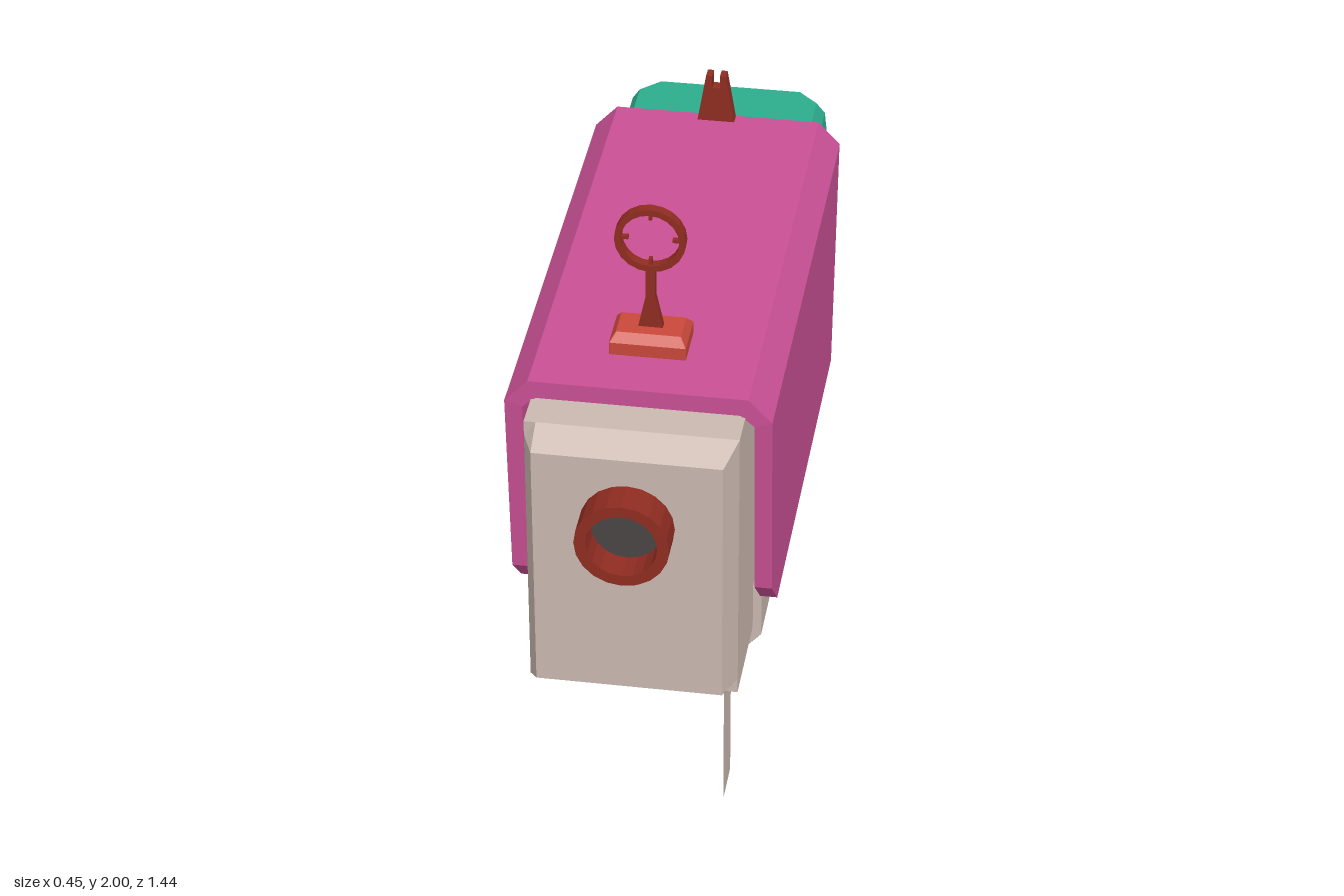
import * as THREE from 'three';

const mat = (name, color, side = THREE.FrontSide) => {
  const m = new THREE.MeshStandardMaterial({ color, flatShading: true, side });
  m.name = name;
  return m;
};

// Skin of equal-length rings (counter-clockwise from above, rising in y), capped at both ends
function loft(rings) {
  const pos = [];
  const tri = (...pts) => pts.forEach((p) => pos.push(...p));
  const n = rings[0].length;
  for (let r = 0; r < rings.length - 1; r++) {
    const a = rings[r], b = rings[r + 1];
    for (let i = 0; i < n; i++) {
      const j = (i + 1) % n;
      tri(a[i], a[j], b[j]);
      tri(a[i], b[j], b[i]);
    }
  }
  const low = rings[0], high = rings[rings.length - 1];
  for (let i = 1; i < n - 1; i++) {
    tri(low[0], low[i + 1], low[i]);
    tri(high[0], high[i], high[i + 1]);
  }
  const g = new THREE.BufferGeometry();
  g.setAttribute('position', new THREE.Float32BufferAttribute(pos, 3));
  g.computeVertexNormals();
  return g;
}

// Rectangular ring with cut corners: half width, front z, back z, corner cut
const rect = (y, hx, zf, zb, c = 0.001) => [
  [hx, y, zf - c], [hx, y, zb + c], [hx - c, y, zb], [c - hx, y, zb],
  [-hx, y, zb + c], [-hx, y, zf - c], [c - hx, y, zf], [hx - c, y, zf],
];
// Ring of the rear housing, narrowing from the shoulder zs to the back zb
const housingRing = (y, hx, hb, zs, zb) => [
  [hx, y, -0.25], [hx, y, zs], [hb, y, zb], [-hb, y, zb], [-hx, y, zs], [-hx, y, -0.25],
];
// Ring of the main body with its bevelled nose at zf
const bodyRing = (y, zf) => [
  [0.18, y, 0.61], [0.18, y, -0.27], [-0.18, y, -0.27], [-0.18, y, 0.61], [-0.16, y, zf], [0.16, y, zf],
];

const shapeOf = (pts) => new THREE.Shape(pts.map(([x, y]) => new THREE.Vector2(x, y)));
const extrude = (pts, depth) =>
  new THREE.ExtrudeGeometry(shapeOf(pts), { depth, bevelEnabled: false });
// Outline in (z, y), given thickness along x and centred on x
const sidePlate = (pts, width) =>
  extrude(pts.map(([z, y]) => [-z, y]), width).translate(0, 0, -width / 2).rotateY(Math.PI / 2);

export function createModel() {
  const beige = mat('beige', 0xcab9b0);
  const beigeSheet = mat('beige sheet', 0xcab9b0, THREE.DoubleSide);
  const pink = mat('pink', 0xca5095, THREE.DoubleSide);
  const green = mat('green', 0x2cad8c);
  const red = mat('red', 0xc9483a);
  const darkRed = mat('dark red', 0x8f2c21, THREE.DoubleSide);
  const dark = mat('dark grey', 0x4a4645);

  const model = new THREE.Group();
  const add = (name, geometry, material, x = 0, y = 0, z = 0, parent = model) => {
    const mesh = new THREE.Mesh(geometry, material);
    mesh.name = name;
    mesh.position.set(x, y, z);
    parent.add(mesh);
    return mesh;
  };

  // Main body and the stepped block under it
  add('body', loft([bodyRing(1.17, 0.61), bodyRing(1.2, 0.66), bodyRing(1.67, 0.66), bodyRing(1.697, 0.61)]), beige);
  add('underBlock', loft([
    rect(1.115, 0.16, 0.425, 0.035), rect(1.155, 0.195, 0.425, 0.035),
    rect(1.24, 0.195, 0.425, 0.035), rect(1.26, 0.18, 0.425, 0.035),
  ]), beige);
  add('underPlate', loft([
    rect(1.065, 0.08, 0.355, 0.12), rect(1.078, 0.092, 0.367, 0.11), rect(1.12, 0.092, 0.367, 0.11),
  ]), beige);

  // Cover: bevelled roof with a hanging plate on each side
  const cover = new THREE.Group();
  cover.name = 'cover';
  model.add(cover);
  add('coverRoof', extrude([
    [0.225, 1.69], [0.185, 1.732], [-0.185, 1.732], [-0.225, 1.69],
    [-0.195, 1.68], [-0.172, 1.7], [0.172, 1.7], [0.195, 1.68],
  ], 0.9), pink, 0, 0, -0.355, cover);
  for (const s of [1, -1]) {
    add(s > 0 ? 'coverLeft' : 'coverRight', sidePlate([
      [0.545, 1.69], [0.52, 1.33], [0.445, 1.255], [-0.297, 1.255], [-0.35, 1.69],
    ], 0.03), pink, s * 0.21, 0, 0, cover);
  }

  // Muzzle: hollow ring with a dark disc inside
  const muzzle = new THREE.LatheGeometry(
    [[0.08, 0], [0.08, 0.065], [0.06, 0.065], [0.06, 0.008]].map(([r, h]) => new THREE.Vector2(r, h)), 20);
  add('muzzle', muzzle.rotateX(Math.PI / 2), darkRed, 0, 1.54, 0.655);
  add('muzzleBore', new THREE.CircleGeometry(0.062, 20), dark, 0, 1.54, 0.668);

  // Rear housing in three steps
  add('rearHousing', loft([
    housingRing(1.19, 0.18, 0.1, -0.5, -0.6), housingRing(1.205, 0.19, 0.11, -0.51, -0.61),
    housingRing(1.6, 0.19, 0.11, -0.51, -0.61),
  ]), green);
  add('rearStep', loft([
    rect(1.59, 0.115, -0.4, -0.588, 0.01), rect(1.635, 0.115, -0.4, -0.588, 0.01), rect(1.652, 0.105, -0.4, -0.575, 0.01),
  ]), green);
  add('rearTop', loft([
    housingRing(1.59, 0.188, 0.145, -0.5, -0.54), housingRing(1.67, 0.18, 0.14, -0.495, -0.537),
    housingRing(1.695, 0.165, 0.13, -0.485, -0.52),
  ]), green);

  // Slanted grip
  add('grip', loft([
    rect(0.685, 0.07, -0.395, -0.7, 0.015), rect(0.705, 0.09, -0.38, -0.718, 0.018),
    rect(1.2, 0.09, -0.255, -0.605, 0.018),
  ]), green);

  // Trigger and the dark strip behind it
  add('triggerMount', sidePlate([[-0.235, 1.2], [-0.27, 1.01], [-0.31, 1.005], [-0.27, 1.2]], 0.08), dark);
  add('trigger', sidePlate([[-0.2, 1.18], [-0.222, 1.105], [-0.28, 1.105], [-0.28, 1.18]], 0.045), darkRed);

  // Front sight: base, stem, ring and four inner ticks
  add('frontSightBase', loft([
    rect(1.73, 0.065, 0.445, 0.36), rect(1.755, 0.065, 0.445, 0.36), rect(1.77, 0.055, 0.432, 0.373),
  ]), red);
  add('frontSightStem', extrude([
    [-0.022, 1.765], [0.022, 1.765], [0.008, 1.83], [0.008, 1.89], [-0.008, 1.89], [-0.008, 1.83],
  ], 0.014), darkRed, 0, 0, 0.396);
  const hoop = new THREE.Shape().absarc(0, 0, 0.06, 0, Math.PI * 2);
  hoop.holes.push(new THREE.Path().absarc(0, 0, 0.049, 0, Math.PI * 2, true));
  add('frontSightRing', new THREE.ExtrudeGeometry(hoop, { depth: 0.018, bevelEnabled: false, curveSegments: 10 }),
    darkRed, 0, 1.94, 0.394);
  for (let i = 0; i < 4; i++) {
    const a = (i * Math.PI) / 2;
    add('sightTick', new THREE.BoxGeometry(0.014, 0.006, 0.008), darkRed,
      0.044 * Math.cos(a), 1.94 + 0.044 * Math.sin(a), 0.403).rotation.z = a;
  }

  // Notched rear sight
  add('rearSight', extrude([
    [-0.034, 1.73], [0.034, 1.73], [0.018, 1.825], [0.007, 1.825], [0.007, 1.8],
    [-0.007, 1.8], [-0.007, 1.825], [-0.018, 1.825],
  ], 0.022), darkRed, 0, 0, -0.354);

  // Strap loop under the grip, link and flat strap
  for (const z of [-0.47, -0.618]) {
    add('loopLug', new THREE.BoxGeometry(0.035, 0.02, 0.045), green, 0, 0.682, z);
  }
  const arc = new THREE.CatmullRomCurve3([
    [0.68, -0.47], [0.64, -0.485], [0.613, -0.525], [0.613, -0.565], [0.64, -0.605], [0.68, -0.62],
  ].map(([y, z]) => new THREE.Vector3(0, y, z)));
  add('strapLoop', new THREE.TubeGeometry(arc, 10, 0.011, 6), pink);
  add('strapLink', new THREE.CylinderGeometry(0.036, 0.036, 0.03, 6, 1, true).rotateX(Math.PI / 2),
    pink, 0, 0.6, -0.536);
  add('strap', new THREE.ShapeGeometry(shapeOf([
    [0.485, 0], [0.585, 0], [0.585, 0.42], [0.575, 0.565], [0.5, 0.565], [0.485, 0.42],
  ])).rotateY(Math.PI / 2), beigeSheet);

  return model;
}
